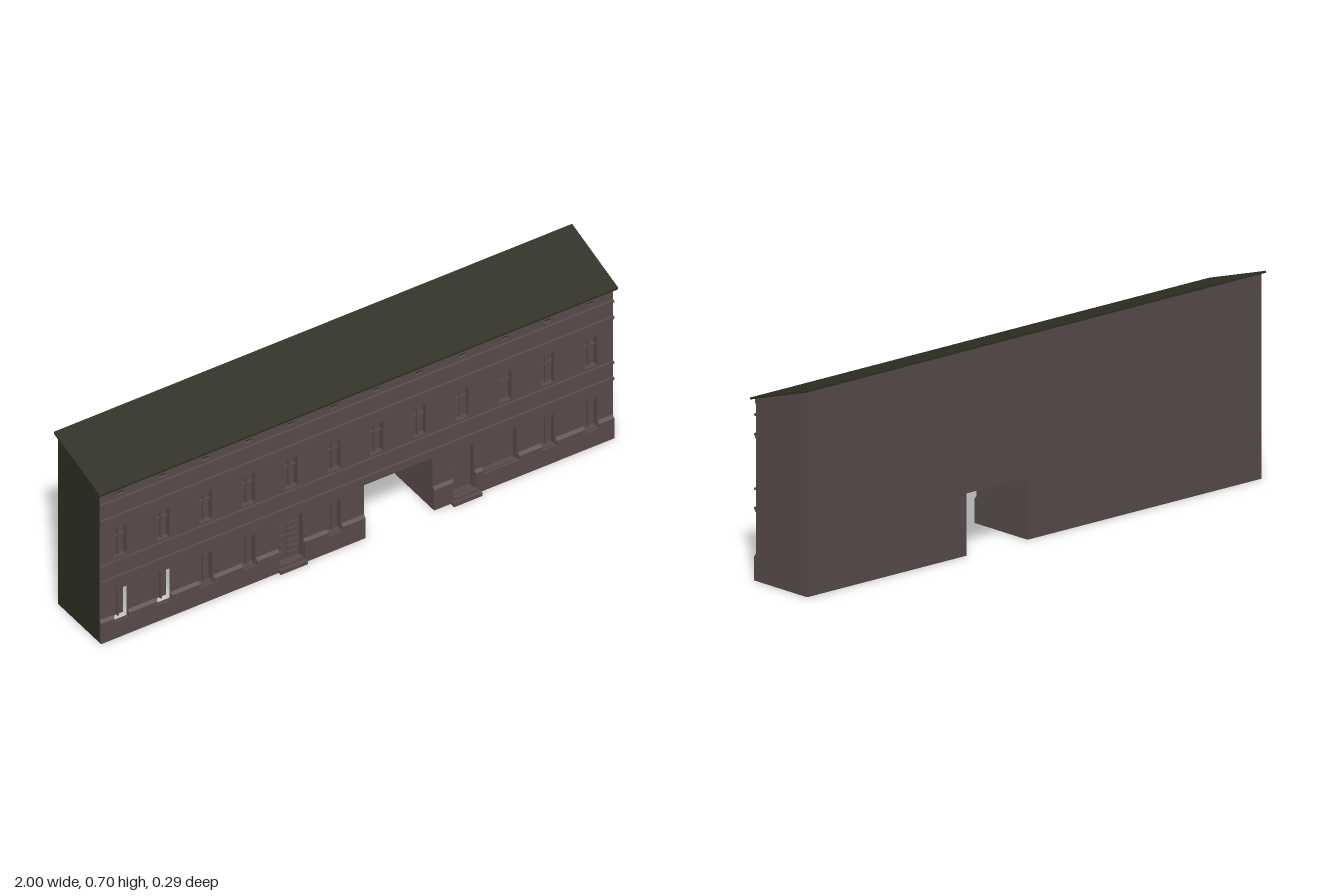
import * as THREE from 'three';

const wallMat = new THREE.MeshStandardMaterial({ color: 0x5a4c4c, side: THREE.DoubleSide });
wallMat.name = 'brown render';
const roofMat = new THREE.MeshStandardMaterial({ color: 0x303024, side: THREE.DoubleSide });
roofMat.name = 'dark olive';

const X = 0.99, ZF = 0.113, ZB = -0.133, YF = 0.613, YB = 0.691;
const GATE = { x0: 0.03, x1: 0.295, top: 0.21 };
const RECESS = 0.02;
const BAYS = Array.from({ length: 12 }, (_, i) => -0.91 + i * 0.165);

export function createModel() {
  const model = new THREE.Group();
  model.name = 'building';

  const add = (name, geo, mat = wallMat, parent = model) => {
    const mesh = new THREE.Mesh(geo, mat);
    mesh.name = name;
    parent.add(mesh);
    return mesh;
  };
  // Box given by its limits on each axis
  const box = (name, x0, x1, y0, y1, z0, z1, mat = wallMat, parent = model) => {
    const geo = new THREE.BoxGeometry(x1 - x0, y1 - y0, z1 - z0);
    geo.translate((x0 + x1) / 2, (y0 + y1) / 2, (z0 + z1) / 2);
    return add(name, geo, mat, parent);
  };
  // Flat four-cornered face, corners counter-clockwise from its front
  const quad = (name, corners, mat = wallMat, parent = model) => {
    const geo = new THREE.BufferGeometry();
    geo.setAttribute('position', new THREE.Float32BufferAttribute(corners.flat(), 3));
    geo.setIndex([0, 1, 2, 0, 2, 3]);
    geo.computeVertexNormals();
    return add(name, geo, mat, parent);
  };
  // Profile of [z, y] points swept along x
  const sweep = (name, profile, x0, x1, mat = wallMat) => {
    const shape = new THREE.Shape(profile.map(([z, y]) => new THREE.Vector2(-z, y)));
    const geo = new THREE.ExtrudeGeometry(shape, { depth: x1 - x0, bevelEnabled: false });
    geo.rotateY(Math.PI / 2).translate(x0, 0, 0);
    return add(name, geo, mat);
  };
  // Wall outline with the gateway cut out of its foot
  const wallShape = (top) => new THREE.Shape([
    [-X, 0], [GATE.x0, 0], [GATE.x0, GATE.top], [GATE.x1, GATE.top],
    [GATE.x1, 0], [X, 0], [X, top], [-X, top],
  ].map(([x, y]) => new THREE.Vector2(x, y)));

  const front = wallShape(YF);

  // Opening in the front wall with a set-back panel and, usually, reveals
  const opening = (name, x0, x1, y0, y1, { depth = RECESS, reveals = true, mat = wallMat } = {}) => {
    const group = new THREE.Group();
    group.name = name;
    model.add(group);
    front.holes.push(new THREE.Path([[x0, y0], [x0, y1], [x1, y1], [x1, y0]]
      .map(([x, y]) => new THREE.Vector2(x, y))));
    const z = ZF - depth;
    quad('panel', [[x0, y0, z], [x1, y0, z], [x1, y1, z], [x0, y1, z]], mat, group);
    quad('head', [[x0, y1, z], [x1, y1, z], [x1, y1, ZF], [x0, y1, ZF]], wallMat, group);
    if (reveals) {
      quad('sill', [[x0, y0, ZF], [x1, y0, ZF], [x1, y0, z], [x0, y0, z]], wallMat, group);
      quad('leftReveal', [[x1, y0, ZF], [x1, y1, ZF], [x1, y1, z], [x1, y0, z]], wallMat, group);
      quad('rightReveal', [[x0, y0, z], [x0, y1, z], [x0, y1, ZF], [x0, y0, ZF]], wallMat, group);
    }
    return group;
  };

  const zp = ZF - RECESS;
  BAYS.forEach((x, i) => {
    // Upper windows with mullion and transom
    const up = opening('upperWindow', x - 0.024, x + 0.024, 0.32, 0.44);
    if (i !== 9) box('mullion', x - 0.003, x + 0.003, 0.32, 0.44, zp, zp + 0.008, wallMat, up);
    box('transom', x - 0.024, x + 0.024, 0.396, 0.402, zp, zp + 0.007, wallMat, up);
    // Attic vents
    opening('atticVent', x - 0.014, x + 0.014, 0.573, 0.587, { depth: 0.01, mat: roofMat });
    // Ground floor windows; the first two panels stand free of the wall
    if ([0, 1, 2, 3, 5, 10, 11].includes(i)) {
      const low = opening('lowerWindow', x - 0.024, x + 0.024, 0.07, 0.19, { reveals: i > 1 });
      box('mullion', x - 0.003, x + 0.003, 0.07, 0.19, zp, zp + 0.008, wallMat, low);
    }
  });
  opening('shopWindow', 0.492, 0.618, 0.07, 0.2);

  // Panelled door
  const door = opening('panelledDoor', -0.298, -0.208, 0.022, 0.2);
  for (let r = 0; r < 4; r++) {
    const y = 0.045 + r * 0.036;
    box('smallPanel', -0.287, -0.272, y - 0.008, y + 0.008, zp, zp + 0.006, wallMat, door);
  }
  for (let r = 0; r < 6; r++) {
    const y = 0.04 + r * 0.024;
    box('widePanel', -0.256, -0.216, y - 0.007, y + 0.007, zp, zp + 0.006, wallMat, door);
  }

  // Plain door with handle
  const plain = opening('plainDoor', 0.375, 0.452, 0.025, 0.207);
  box('handle', 0.381, 0.387, 0.105, 0.135, zp, zp + 0.008, wallMat, plain);

  // Doorsteps
  [[-0.305, -0.2, 0.135], [0.358, 0.467, 0.143]].forEach(([x0, x1, z]) => {
    box('lowerStep', x0, x1, 0, 0.014, ZF, z);
    box('upperStep', x0 + 0.01, x1 - 0.01, 0.014, 0.023, ZF, z - 0.013);
  });

  // Walls
  add('frontWall', new THREE.ShapeGeometry(front).translate(0, 0, ZF));
  const back = new THREE.ShapeGeometry(wallShape(YB));
  back.setIndex(Array.from(back.index.array).reverse());
  back.computeVertexNormals();
  add('backWall', back.translate(0, 0, ZB));
  quad('leftEndWall', [[X, 0, ZF], [X, 0, ZB], [X, YB, ZB], [X, YF, ZF]]);
  quad('rightEndWall', [[-X, 0, ZB], [-X, 0, ZF], [-X, YF, ZF], [-X, YB, ZB]], roofMat);

  // Gateway lining
  const { x0, x1, top } = GATE;
  quad('gatewayRightSide', [[x0, 0, ZF], [x0, 0, ZB], [x0, top, ZB], [x0, top, ZF]]);
  quad('gatewayLeftSide', [[x1, 0, ZB], [x1, 0, ZF], [x1, top, ZF], [x1, top, ZB]]);
  quad('gatewayCeiling', [[x0, top, ZB], [x1, top, ZB], [x1, top, ZF], [x0, top, ZF]]);

  // Plinth, notched below each ground floor window
  const zo = 0.122;
  const full = [[ZF, 0], [zo, 0], [zo, 0.082], [ZF, 0.092]];
  const low = [[ZF, 0], [zo, 0], [zo, 0.066], [ZF, 0.066]];
  const notches = [0, 1, 2, 3, 5, 10, 11].map((i) => [BAYS[i] - 0.028, BAYS[i] + 0.028]);
  notches.push([0.485, 0.625]);
  notches.sort((a, b) => a[0] - b[0]);
  [[-X, -0.302], [-0.204, x0], [x1, 0.37], [0.457, X]].forEach(([a, b]) => {
    let x = a;
    notches.filter((n) => n[0] > a && n[1] < b).forEach(([n0, n1]) => {
      sweep('plinth', full, x, n0);
      sweep('plinthNotch', low, n0, n1);
      x = n1;
    });
    sweep('plinth', full, x, b);
  });

  // String courses and cornice
  [[0.556, 0.563], [0.306, 0.313]].forEach(([a, b]) => box('stringCourse', -X, X, a, b, ZF, zo));
  [0.497, 0.248].forEach((y) => sweep('mouldedCourse',
    [[ZF, y - 0.015], [0.117, y - 0.015], [0.117, y - 0.008], [zo, y - 0.008], [zo, y], [ZF, y]], -X, X));
  box('cornice', -X, X, 0.598, 0.613, ZF, 0.118);

  // Single-pitch roof slab
  sweep('roof', [[0.13, 0.61], [0.13, 0.617], [-0.142, 0.701], [-0.142, 0.694]], -1, 1, roofMat);

  return model;
}
